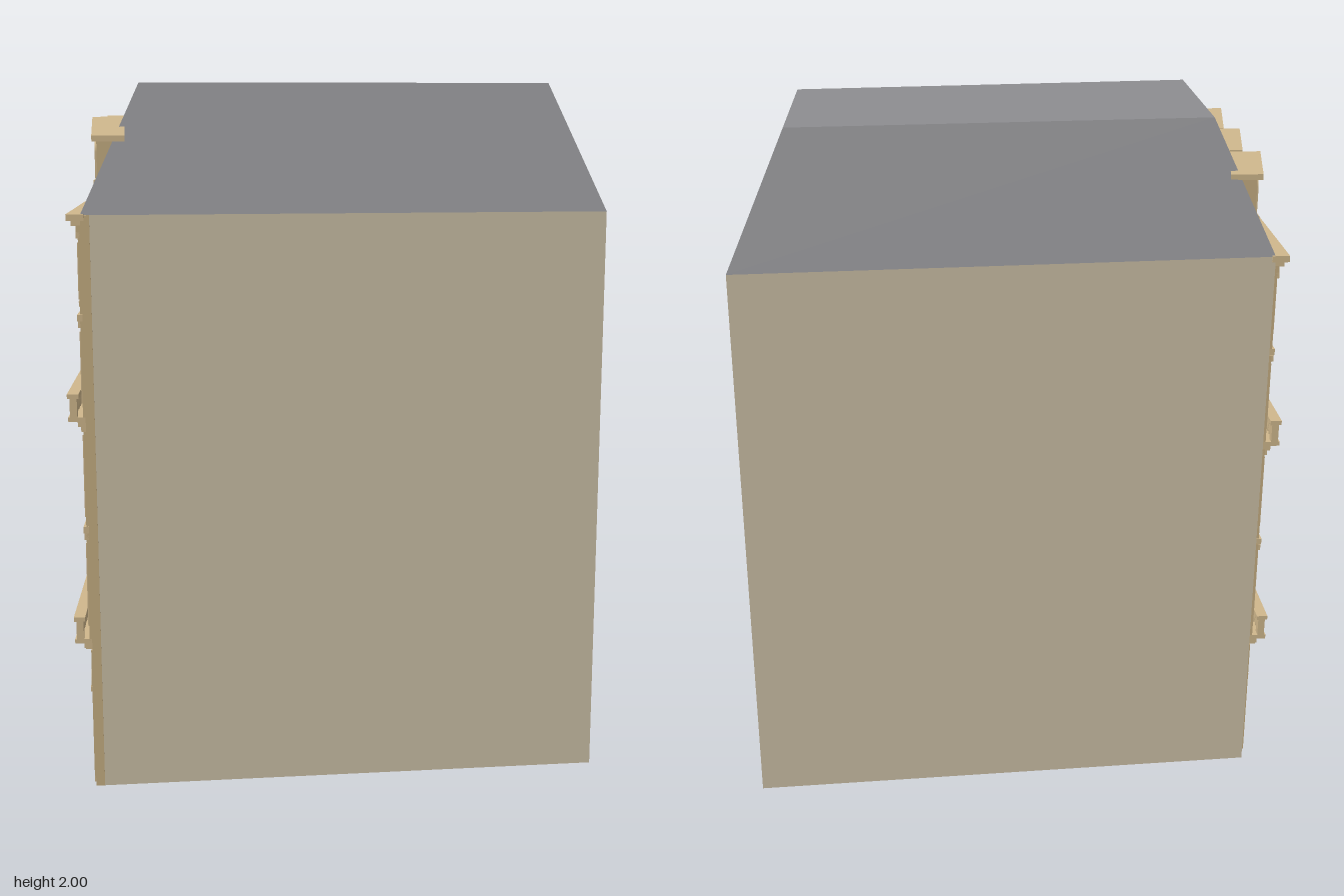
import * as THREE from 'three';

const mat = (name, color, side = THREE.FrontSide) => {
  const m = new THREE.MeshStandardMaterial({ color, side });
  m.name = name;
  return m;
};

// Footprint and roof-top corners as [x, z]; the street facade runs from B to A
const A = [-0.838, 0.152], B = [-0.522, -0.618], C = [0.88, -0.1], D = [0.545, 0.635];
const BASE = [A, B, C, D];
const TOP = [[-0.63, 0.06], [-0.43, -0.42], [0.67, -0.012], [0.465, 0.445]];
const EAVE = 1.645;

// Flat-shaded surface from a list of four-cornered faces
function quads(faces) {
  const pos = [];
  for (const [a, b, c, d] of faces) for (const p of [a, b, c, a, c, d]) pos.push(...p);
  const g = new THREE.BufferGeometry();
  g.setAttribute('position', new THREE.Float32BufferAttribute(pos, 3));
  g.computeVertexNormals();
  return g;
}
const at = ([x, z], y) => [x, y, z];
const sideFace = (lo, hi, y0, y1, i) => {
  const j = (i + 1) % 4;
  return [at(lo[j], y0), at(lo[i], y0), at(hi[i], y1), at(hi[j], y1)];
};

// Round-headed opening: jambs from y0 to the spring line, then a half circle
function archPath(path, cx, r, y0, spring) {
  path.moveTo(cx - r, y0);
  path.lineTo(cx - r, spring);
  path.absarc(cx, spring, r, Math.PI, 0, true);
  path.lineTo(cx + r, y0);
  path.closePath();
  return path;
}
function rectPath(path, x0, x1, y0, y1) {
  path.moveTo(x0, y0);
  path.lineTo(x0, y1);
  path.lineTo(x1, y1);
  path.lineTo(x1, y0);
  path.closePath();
  return path;
}
const extrude = (shape, depth) =>
  new THREE.ExtrudeGeometry(shape, { depth, bevelEnabled: false, curveSegments: 16 });

export function createModel() {
  const wall = mat('plain wall', 0xcfc3a9, THREE.DoubleSide);
  const slate = mat('roof slate', 0x8e8e91, THREE.DoubleSide);
  const stone = mat('facade stone', 0xc6ae82, THREE.DoubleSide);
  const trim = mat('carved trim', 0xd0b88d);
  const glass = mat('dark glass', 0x2a2f39, THREE.DoubleSide);
  const wood = mat('door wood', 0x553829, THREE.DoubleSide);
  const frame = mat('window frame', 0xb8b09a);

  const model = new THREE.Group();
  const add = (parent, name, geo, m, x = 0, y = 0, z = 0) => {
    const mesh = new THREE.Mesh(geo, m);
    mesh.name = name;
    mesh.position.set(x, y, z);
    parent.add(mesh);
    return mesh;
  };

  // Three plain walls (open underneath) and the mansard roof
  add(model, 'plainWalls', quads([1, 2, 3].map(i => sideFace(BASE, BASE, 0, EAVE, i))), wall);
  const roof = [0, 1, 2, 3].map(i => sideFace(BASE, TOP, EAVE, 2, i));
  roof.push([TOP[0], TOP[3], TOP[2], TOP[1]].map(p => at(p, 2)));
  add(model, 'mansardRoof', quads(roof), slate);

  // Facade space: x along the street from B, y up, z outwards
  const dx = A[0] - B[0], dz = A[1] - B[1];
  const L = Math.hypot(dx, dz), bay = L / 3;
  const facade = new THREE.Group();
  facade.name = 'facade';
  facade.position.set(B[0], 0, B[1]);
  facade.rotation.y = Math.atan2(-dz, dx);
  model.add(facade);

  // Box given by its extents
  const box = (parent, name, m, x0, x1, y0, y1, z0, z1) =>
    add(parent, name, new THREE.BoxGeometry(x1 - x0, y1 - y0, z1 - z0), m,
      (x0 + x1) / 2, (y0 + y1) / 2, (z0 + z1) / 2);

  const centres = [0.5, 1.5, 2.5].map(k => k * bay);
  const floors = [[0.46, 0.705], [0.805, 1.035], [1.1, 1.325], [1.405, 1.585]];
  const R = 0.088, SPRING = 0.298, W = 0.07;

  // Facade wall, with arches cut to the ground and window holes
  const outline = new THREE.Shape();
  outline.moveTo(0, 0);
  for (const cx of centres) {
    outline.lineTo(cx - R, 0);
    outline.lineTo(cx - R, SPRING);
    outline.absarc(cx, SPRING, R, Math.PI, 0, true);
    outline.lineTo(cx + R, 0);
  }
  outline.lineTo(L, 0);
  outline.lineTo(L, EAVE);
  outline.lineTo(0, EAVE);
  outline.closePath();
  for (const cx of centres) for (const [y0, y1] of floors)
    outline.holes.push(rectPath(new THREE.Path(), cx - W, cx + W, y0, y1));
  add(facade, 'facadeWall', extrude(outline, 0.025), stone, 0, 0, -0.025);

  // Ground floor: open passage, timber door, glazed shopfront
  centres.forEach((cx, i) => {
    const ring = archPath(new THREE.Shape(), cx, R + 0.02, SPRING - 0.01, SPRING);
    ring.holes.push(archPath(new THREE.Path(), cx, R, SPRING - 0.0099, SPRING));
    add(facade, 'archMoulding', extrude(ring, 0.008), trim);
    box(facade, 'keystone', trim, cx - 0.011, cx + 0.011, 0.382, 0.415, 0, 0.013);
    for (const s of [-1, 1]) {
      const jx = cx + s * (R + 0.011);
      box(facade, 'archJamb', trim, jx - 0.01, jx + 0.01, 0, SPRING - 0.02, 0, 0.006);
      box(facade, 'impost', trim, jx - 0.014, jx + 0.014, SPRING - 0.02, SPRING - 0.005, 0, 0.01);
    }
    if (i > 0) {
      const leaf = new THREE.ShapeGeometry(archPath(new THREE.Shape(), cx, R, 0, SPRING), 16);
      add(facade, i === 1 ? 'timberDoor' : 'shopWindow', leaf, i === 1 ? wood : glass, 0, 0, -0.02);
    }
  });

  // Upper windows with glazing bars, surrounds and sills
  for (const cx of centres) floors.forEach(([y0, y1], f) => {
    const h = y1 - y0, bar = y0 + h * 0.68;
    add(facade, 'windowGlass', new THREE.PlaneGeometry(2 * W, h), glass, cx, (y0 + y1) / 2, -0.02);
    box(facade, 'centreMullion', frame, cx - 0.005, cx + 0.005, y0, y1, -0.02, -0.012);
    box(facade, 'transom', frame, cx - W, cx + W, bar - 0.004, bar + 0.004, -0.02, -0.012);
    for (const s of [-1, 1]) box(facade, 'paneBar', frame, cx + s * 0.036 - 0.002, cx + s * 0.036 + 0.002, y0, y1, -0.02, -0.015);
    const surround = rectPath(new THREE.Shape(), cx - W - 0.014, cx + W + 0.014, y0 - 0.005, y1 + 0.014);
    surround.holes.push(rectPath(new THREE.Path(), cx - W, cx + W, y0, y1));
    add(facade, 'windowSurround', extrude(surround, 0.007), stone);
    if (f % 2) box(facade, 'windowSill', trim, cx - W - 0.02, cx + W + 0.02, y0 - 0.014, y0, 0, 0.014);
    if (f < 3) box(facade, 'windowHood', trim, cx - W - 0.018, cx + W + 0.018, y1 + 0.012, y1 + 0.02, 0, 0.012);
  });

  // Pilasters between bays, cut in half at the ends
  for (let k = 0; k <= 3; k++) {
    const x0 = Math.max(0, k * bay - 0.03), x1 = Math.min(L, k * bay + 0.03);
    box(facade, 'groundPier', stone, x0 + 0.004, x1 - 0.004, 0.03, 0.41, 0, 0.004);
    for (const [y0, y1] of [[0.44, 0.755], [0.775, 1.065], [1.085, 1.355], [1.375, 1.6]]) {
      box(facade, 'pilaster', stone, x0, x1, y0, y1, 0, 0.007);
      box(facade, 'pilasterPanel', trim, x0 + 0.013, x1 - 0.013, y0 + 0.04, y1 - 0.03, 0, 0.011);
      box(facade, 'pilasterCap', trim, x0, x1, y1 - 0.018, y1, 0, 0.013);
    }
  }

  // String courses and stepped top cornice
  box(facade, 'groundBand', trim, 0, L, 0.415, 0.43, 0, 0.018);
  for (const y of [0.765, 1.365]) box(facade, 'stringCourse', trim, 0, L, y - 0.009, y + 0.009, 0, 0.015);
  box(facade, 'frieze', stone, 0, L, 1.6, 1.618, 0, 0.012);
  box(facade, 'lowerCornice', trim, 0, L, 1.616, 1.63, 0, 0.025);
  box(facade, 'upperCornice', trim, -0.005, L + 0.005, 1.63, 1.648, -0.01, 0.038);

  // Two full-width balconies with turned balusters
  const balusterGeo = new THREE.LatheGeometry(
    [[0.004, 0], [0.007, 0.016], [0.0035, 0.036], [0.005, 0.052]].map(p => new THREE.Vector2(...p)), 6);
  for (const y of [0.432, 1.075]) {
    const balcony = new THREE.Group();
    balcony.name = 'balcony';
    balcony.position.y = y;
    facade.add(balcony);
    box(balcony, 'balconySlab', trim, 0, L, 0, 0.013, 0, 0.048);
    box(balcony, 'handrail', trim, 0, L, 0.065, 0.078, 0.018, 0.05);
    for (let i = 0; i < 36; i++)
      add(balcony, 'baluster', balusterGeo, trim, (i + 0.5) * L / 36, 0.013, 0.033);
    for (let k = 0; k <= 3; k++) {
      const x = THREE.MathUtils.clamp(k * bay, 0.012, L - 0.012);
      box(balcony, 'balconyPost', trim, x - 0.012, x + 0.012, 0.013, 0.065, 0.023, 0.043);
      box(balcony, 'bracket', trim, x - 0.012, x + 0.012, -0.014, 0, 0, 0.022);
    }
  }

  // Dormers: gabled body, chevron roof and arched window
  for (const cx of centres) {
    const dormer = new THREE.Group();
    dormer.name = 'dormer';
    dormer.position.set(cx, 0, 0);
    facade.add(dormer);
    const poly = pts => new THREE.Shape(pts.map(p => new THREE.Vector2(...p)));
    add(dormer, 'dormerBody', extrude(poly([[-0.042, 1.715], [0.042, 1.715], [0.042, 1.85], [0, 1.888], [-0.042, 1.85]]), 0.075), stone, 0, 0, -0.117);
    add(dormer, 'dormerRoof', extrude(poly([[-0.057, 1.84], [0, 1.89], [0.057, 1.84], [0.057, 1.856], [0, 1.906], [-0.057, 1.856]]), 0.09), trim, 0, 0, -0.12);
    add(dormer, 'dormerWindow', new THREE.ShapeGeometry(archPath(new THREE.Shape(), 0, 0.026, 1.742, 1.812), 10), glass, 0, 0, -0.0405);
    const ring = archPath(new THREE.Shape(), 0, 0.033, 1.735, 1.812);
    ring.holes.push(archPath(new THREE.Path(), 0, 0.026, 1.742, 1.812));
    add(dormer, 'dormerSurround', extrude(ring, 0.006), trim, 0, 0, -0.042);
    box(dormer, 'dormerSill', trim, -0.047, 0.047, 1.722, 1.735, -0.06, -0.032);
  }
  return model;
}
